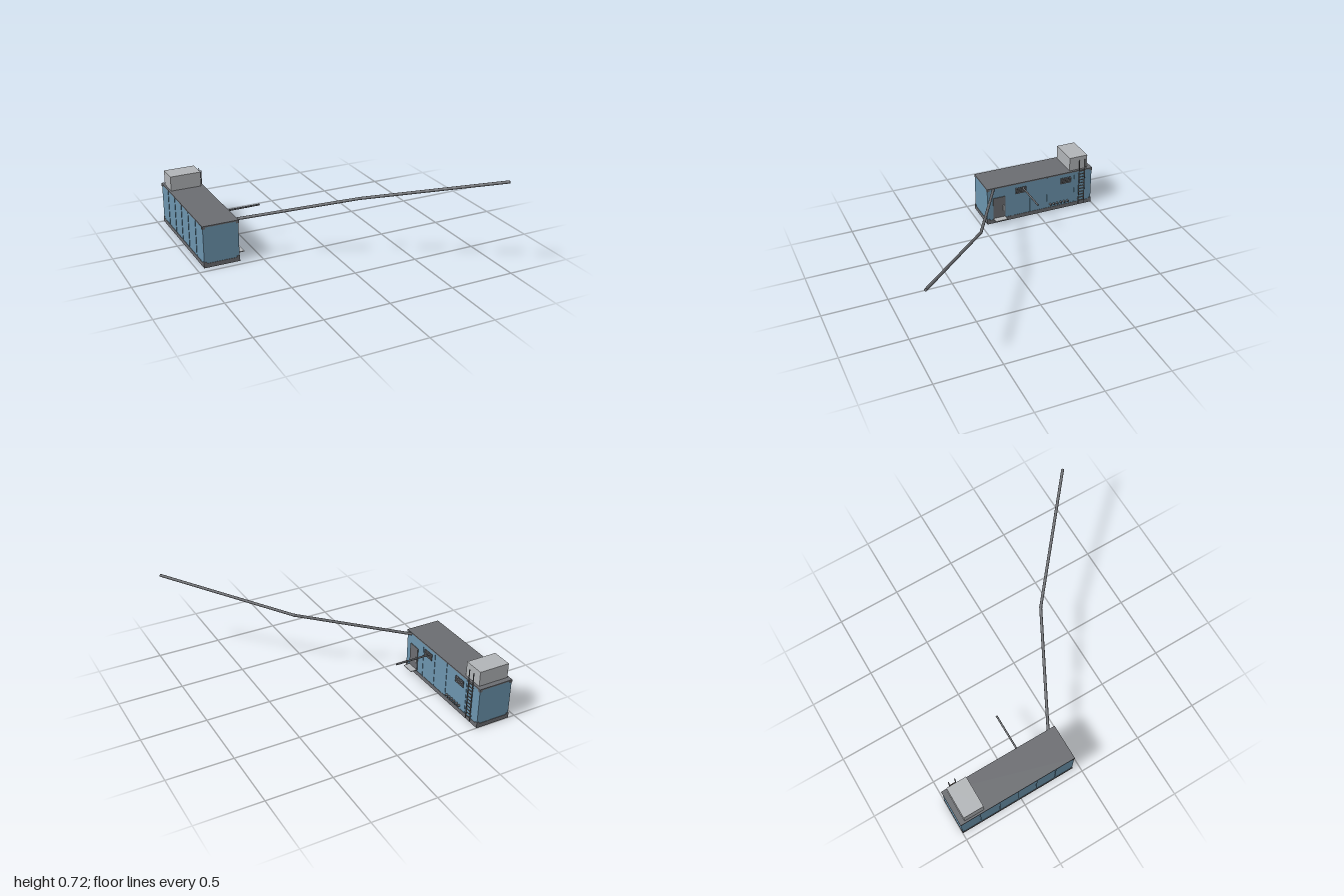
import * as THREE from 'three';

const mat = (name, color) => {
  const m = new THREE.MeshStandardMaterial({ color });
  m.name = name;
  return m;
};

export function createModel() {
  const blue = mat('blue wall paint', 0x6c95af);
  const grey = mat('frame grey', 0x6b6d71);
  const pale = mat('pale housing grey', 0xb2b5b8);
  const dark = mat('dark louvre grey', 0x4a4c50);
  const rust = mat('rung brown', 0x86766a);

  const root = new THREE.Group();
  root.name = 'containerUnit';

  // Box given by its min and max corners
  const box = (name, m, x0, x1, y0, y1, z0, z1, parent = root) => {
    const b = new THREE.Mesh(new THREE.BoxGeometry(x1 - x0, y1 - y0, z1 - z0), m);
    b.position.set((x0 + x1) / 2, (y0 + y1) / 2, (z0 + z1) / 2);
    b.name = name;
    parent.add(b);
    return b;
  };
  // Round bar between two points
  const bar = (name, m, a, b, r, parent = root, sides = 12) => {
    const p = new THREE.Vector3(...a), q = new THREE.Vector3(...b);
    const d = q.clone().sub(p);
    const c = new THREE.Mesh(new THREE.CylinderGeometry(r, r, d.length(), sides), m);
    c.position.copy(p).add(q).multiplyScalar(0.5);
    c.quaternion.setFromUnitVectors(new THREE.Vector3(0, 1, 0), d.normalize());
    c.name = name;
    parent.add(c);
    return c;
  };
  const group = (name) => {
    const g = new THREE.Group();
    g.name = name;
    root.add(g);
    return g;
  };

  const L = -0.945, R = -0.665, F = -0.052, B = -1;

  // Shell
  box('baseFrame', grey, L, R, 0, 0.034, B, F);
  box('walls', blue, L + 0.003, R - 0.003, 0.034, 0.32, B + 0.003, F - 0.003);
  box('roof', grey, L, R, 0.32, 0.33, B, F);

  // Corner castings
  const corners = group('cornerCastings');
  for (const x of [L, R - 0.022])
    for (const z of [B, F - 0.022])
      for (const y of [0.03, 0.306])
        box('cornerCasting', grey, x, x + 0.022, y, y + 0.016, z, z + 0.022, corners);

  // Wall panel ribs
  const ribs = group('wallRibs');
  for (const z of [-0.84, -0.68, -0.525, -0.37, -0.21])
    box('leftRib', blue, L, L + 0.004, 0.034, 0.32, z - 0.003, z + 0.003, ribs);
  for (const z of [-0.28, -0.435, -0.59, -0.84])
    box('rightRib', blue, R - 0.004, R, 0.034, 0.32, z - 0.003, z + 0.003, ribs);

  // Door with handle and step
  const door = group('door');
  box('doorLeaf', grey, R - 0.004, R + 0.003, 0.036, 0.235, -0.21, -0.106, door);
  box('doorHandle', pale, R + 0.003, R + 0.008, 0.105, 0.155, -0.2, -0.191, door);
  box('doorStep', pale, R, -0.61, 0.041, 0.047, -0.21, -0.106, door);

  // Louvred vents
  for (const z of [-0.35, -0.758]) {
    const vent = group('vent');
    box('ventRecess', dark, R - 0.004, R + 0.001, 0.232, 0.286, z - 0.048, z + 0.048, vent);
    for (let i = 0; i < 4; i++) {
      const slat = box('ventSlat', grey, R - 0.002, R + 0.006, 0.236 + i * 0.013, 0.243 + i * 0.013, z - 0.048, z + 0.048, vent);
      slat.rotation.z = -0.4;
    }
  }

  // Cable ports
  const ports = group('cablePorts');
  for (let i = 0; i < 6; i++) {
    const z = -0.62 - i * 0.0315;
    bar('port', grey, [R - 0.005, 0.062, z], [-0.648, 0.062, z], 0.009, ports);
    bar('portOpening', dark, [-0.649, 0.062, z], [-0.647, 0.062, z], 0.006, ports);
  }

  // Ladder
  const ladder = group('ladder');
  for (const z of [-0.876, -0.926])
    bar('ladderRail', grey, [-0.655, 0.02, z], [-0.655, 0.43, z], 0.004, ladder, 8);
  for (let i = 0; i < 11; i++) {
    const y = 0.045 + i * 0.028;
    bar('ladderRung', rust, [-0.655, y, -0.876], [-0.655, y, -0.926], 0.003, ladder, 8);
  }
  for (const z of [-0.876, -0.926])
    for (const y of [0.06, 0.3])
      bar('ladderBracket', grey, [R - 0.005, y, z], [-0.655, y, z], 0.003, ladder, 8);

  // Roof unit
  box('roofUnit', pale, -0.93, -0.685, 0.33, 0.447, -0.96, -0.8);

  // Side outlet pipe
  bar('outletPipe', grey, [R - 0.005, 0.275, -0.37], [-0.37, 0.275, -0.37], 0.007);

  // Long two-piece pipe with a bend joint
  const bend = [0.13, 0.485, 0.31];
  const pipe = group('longPipe');
  bar('pipeLower', grey, [-0.668, 0.315, -0.108], bend, 0.011, pipe);
  bar('pipeUpper', grey, bend, [0.935, 0.713, 0.99], 0.011, pipe);
  const joint = new THREE.Mesh(new THREE.SphereGeometry(0.0125, 12, 8), grey);
  joint.position.set(...bend);
  joint.name = 'pipeJoint';
  pipe.add(joint);

  return root;
}
